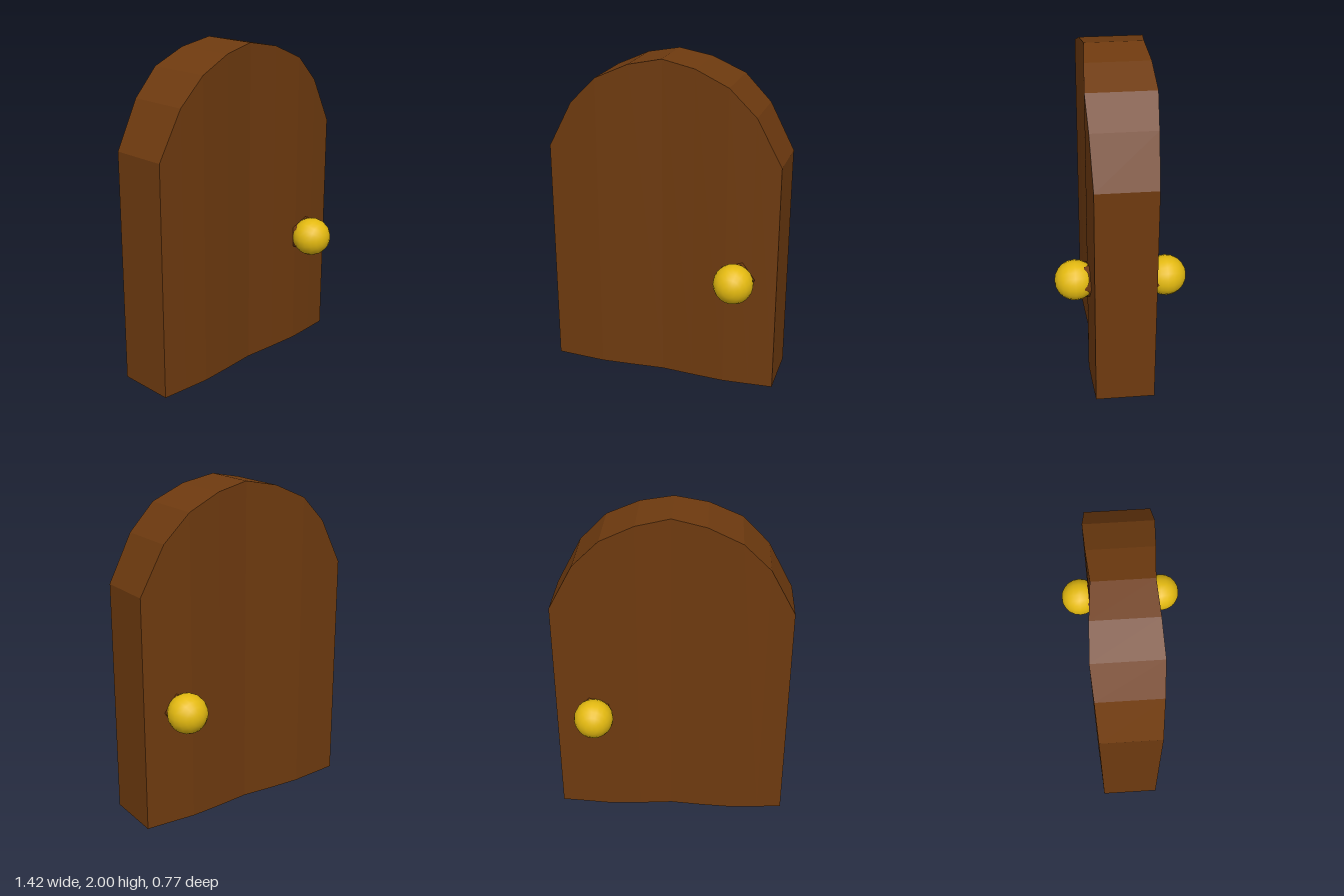
import * as THREE from 'three';

// Half of the door outline, from the middle to the edge: x, top height, front z, back z
const HALF = [
  [0, 2.0, 0.163, -0.178],
  [0.2, 1.96, 0.178, -0.196],
  [0.4, 1.87, 0.19, -0.207],
  [0.56, 1.71, 0.18, -0.195],
  [0.71, 1.43, 0.169, -0.185],
];

function doorGeometry() {
  const mirrored = HALF.slice(1).reverse().map(([x, ...rest]) => [-x, ...rest]);
  // Each section is a rectangle: bottom front, bottom back, top back, top front
  const sections = [...mirrored, ...HALF].map(([x, top, front, back]) => [
    [x, 0, front], [x, 0, back], [x, top, back], [x, top, front],
  ]);
  const positions = [];
  const quad = (a, b, c, d) => positions.push(...a, ...b, ...c, ...a, ...c, ...d);
  for (let i = 0; i < sections.length - 1; i++) {
    const p = sections[i], q = sections[i + 1];
    for (let k = 0; k < 4; k++) {
      const n = (k + 1) % 4;
      quad(p[k], p[n], q[n], q[k]);
    }
  }
  const first = sections[0], last = sections[sections.length - 1];
  quad(first[3], first[2], first[1], first[0]);
  quad(last[0], last[1], last[2], last[3]);
  const geometry = new THREE.BufferGeometry();
  geometry.setAttribute('position', new THREE.Float32BufferAttribute(positions, 3));
  geometry.computeVertexNormals();
  return geometry;
}

export function createModel() {
  const wood = new THREE.MeshStandardMaterial({ color: 0x6e3a0f });
  wood.name = 'brown wood';
  const brass = new THREE.MeshStandardMaterial({ color: 0xe4ba10 });
  brass.name = 'yellow brass';

  const model = new THREE.Group();
  model.name = 'archedDoor';

  const add = (name, geometry, material) => {
    const mesh = new THREE.Mesh(geometry, material);
    mesh.name = name;
    model.add(mesh);
    return mesh;
  };

  add('doorPanel', doorGeometry(), wood);

  // A round knob on each face, seated on a small five-sided wooden collar
  for (const [side, sign] of [['front', 1], ['back', -1]]) {
    const ball = new THREE.SphereGeometry(0.12, 20, 10).rotateX(Math.PI / 2);
    add(side + 'Knob', ball, brass).position.set(0.47, 0.72, sign * 0.267);

    const collar = new THREE.CylinderGeometry(0.11, 0.11, 0.07, 5)
      .toNonIndexed().rotateX(Math.PI / 2).rotateZ(Math.PI / 10);
    add(side + 'KnobCollar', collar, wood).position.set(0.47, 0.72, sign * 0.18);
  }
  return model;
}
